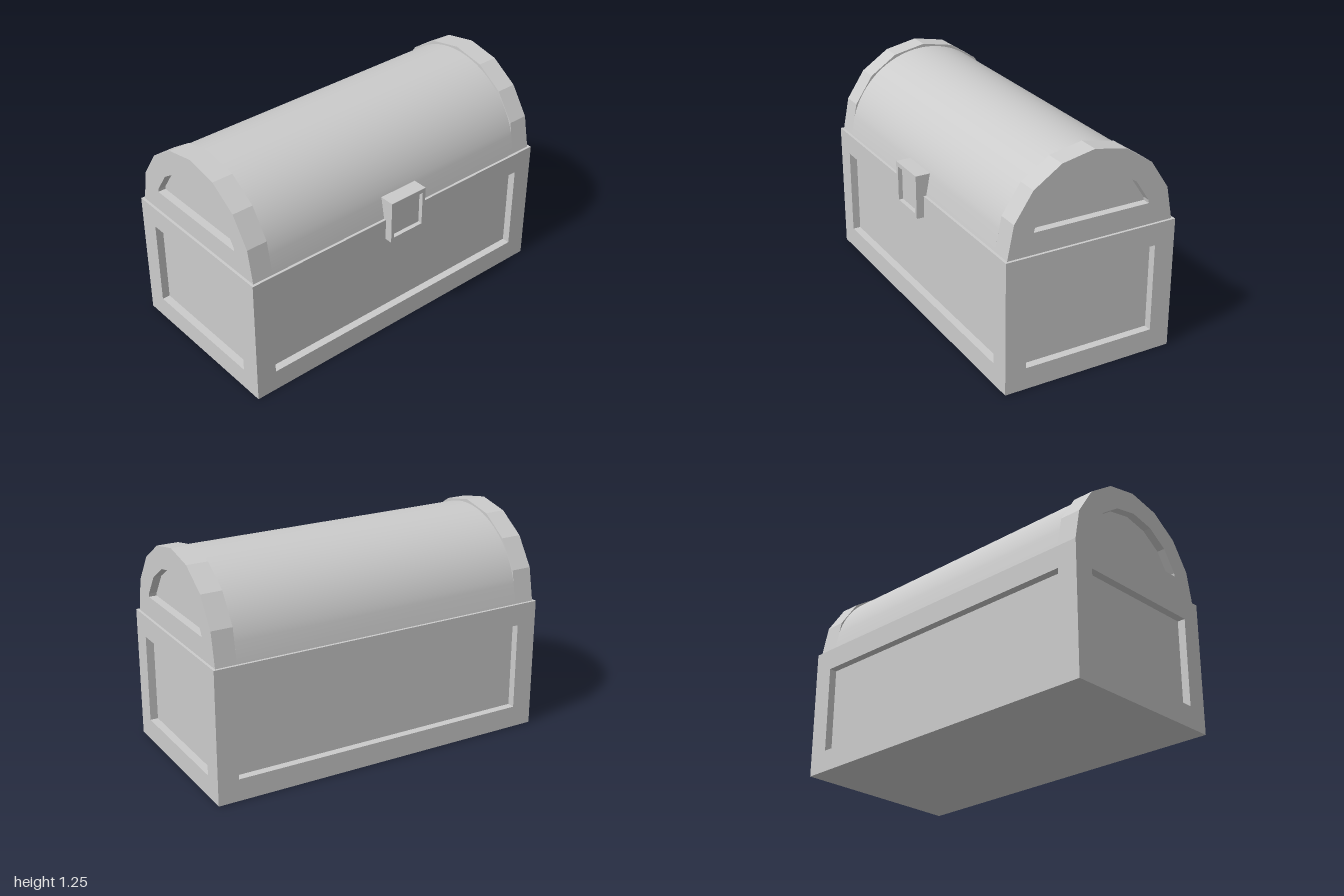
import * as THREE from 'three';
import { toCreasedNormals } from 'three/addons/utils/BufferGeometryUtils.js';

const W = 2, D = 1.01, H = 0.755; // base size; the lid springs from height H
const RECESS = 0.045;
const material = new THREE.MeshStandardMaterial({ color: 0xcccccc });

function add(parent, name, geometry) {
  const mesh = new THREE.Mesh(geometry, material);
  mesh.name = name;
  parent.add(mesh);
  return mesh;
}

const polygon = (pts) => new THREE.Shape(pts.map(([x, y]) => new THREE.Vector2(x, y)));
const rect = (halfW, y0, y1) => polygon([[-halfW, y0], [halfW, y0], [halfW, y1], [-halfW, y1]]);

function extrude(shape, depth, hole) {
  if (hole) shape.holes.push(hole);
  return new THREE.ExtrudeGeometry(shape, { depth, bevelEnabled: false });
}

// Points along an arch, from the right side over the top to the left
function arch(radius, centreY, segments, start = 0) {
  return Array.from({ length: segments + 1 }, (_, i) => {
    const a = start + (Math.PI - 2 * start) * i / segments;
    return [radius * Math.cos(a), centreY + radius * Math.sin(a)];
  });
}

export function createModel() {
  const model = new THREE.Group();
  model.name = 'chest';
  const body = new THREE.Group();
  body.name = 'chestBody';
  body.position.z = -0.02;
  model.add(body);

  // Base: inner box whose faces are the sunken panels
  add(body, 'basePanels', new THREE.BoxGeometry(W - 2 * RECESS, H, D - 2 * RECESS))
    .position.y = H / 2;

  for (const s of [1, -1]) {
    // Raised frames around the sunken panels
    const long = add(body, s > 0 ? 'frontFrame' : 'backFrame',
      extrude(rect(W / 2, 0, H), RECESS, rect(0.88, 0.125, 0.63)));
    long.rotation.y = s > 0 ? 0 : Math.PI;
    long.position.z = s * (D / 2 - RECESS);

    const side = add(body, s > 0 ? 'leftFrame' : 'rightFrame',
      extrude(rect(D / 2 - RECESS, 0, H), RECESS, rect(0.385, 0.125, 0.63)));
    side.rotation.y = s * Math.PI / 2;
    side.position.x = s * (W / 2 - RECESS);

    // Faceted lid ends: a solid arch with an open-panelled rim outside it
    const end = new THREE.Group();
    end.name = s > 0 ? 'leftLidEnd' : 'rightLidEnd';
    end.rotation.y = s * Math.PI / 2;
    end.position.x = s * 0.865;
    body.add(end);
    const outer = arch(0.49, H, 8);
    const inner = [[0.341, 0.875], ...arch(0.365, H, 8).slice(1, -1), [-0.341, 0.875]];
    add(end, 'lidEndPanel', extrude(polygon(outer), 0.12 - RECESS));
    add(end, 'lidEndRim', extrude(polygon(outer), RECESS, polygon(inner)))
      .position.z = 0.12 - RECESS;
  }

  // Smooth barrel of the lid, flush with the ends along its lower edge
  const barrel = [[0.49, H], ...arch(0.485, 0.74, 40, 0.271), [-0.49, H]];
  const lid = add(body, 'lidBarrel', toCreasedNormals(extrude(polygon(barrel), 1.73), 0.5));
  lid.rotation.y = Math.PI / 2;
  lid.position.x = -0.865;

  // Latch with a shallow square recess
  const latch = new THREE.Group();
  latch.name = 'latch';
  model.add(latch);
  add(latch, 'latchPlate', extrude(rect(0.12, 0.63, 0.88), 0.075)).position.z = 0.43;
  add(latch, 'latchRim', extrude(rect(0.12, 0.63, 0.88), 0.025, rect(0.1, 0.655, 0.855)))
    .position.z = 0.505;

  return model;
}
